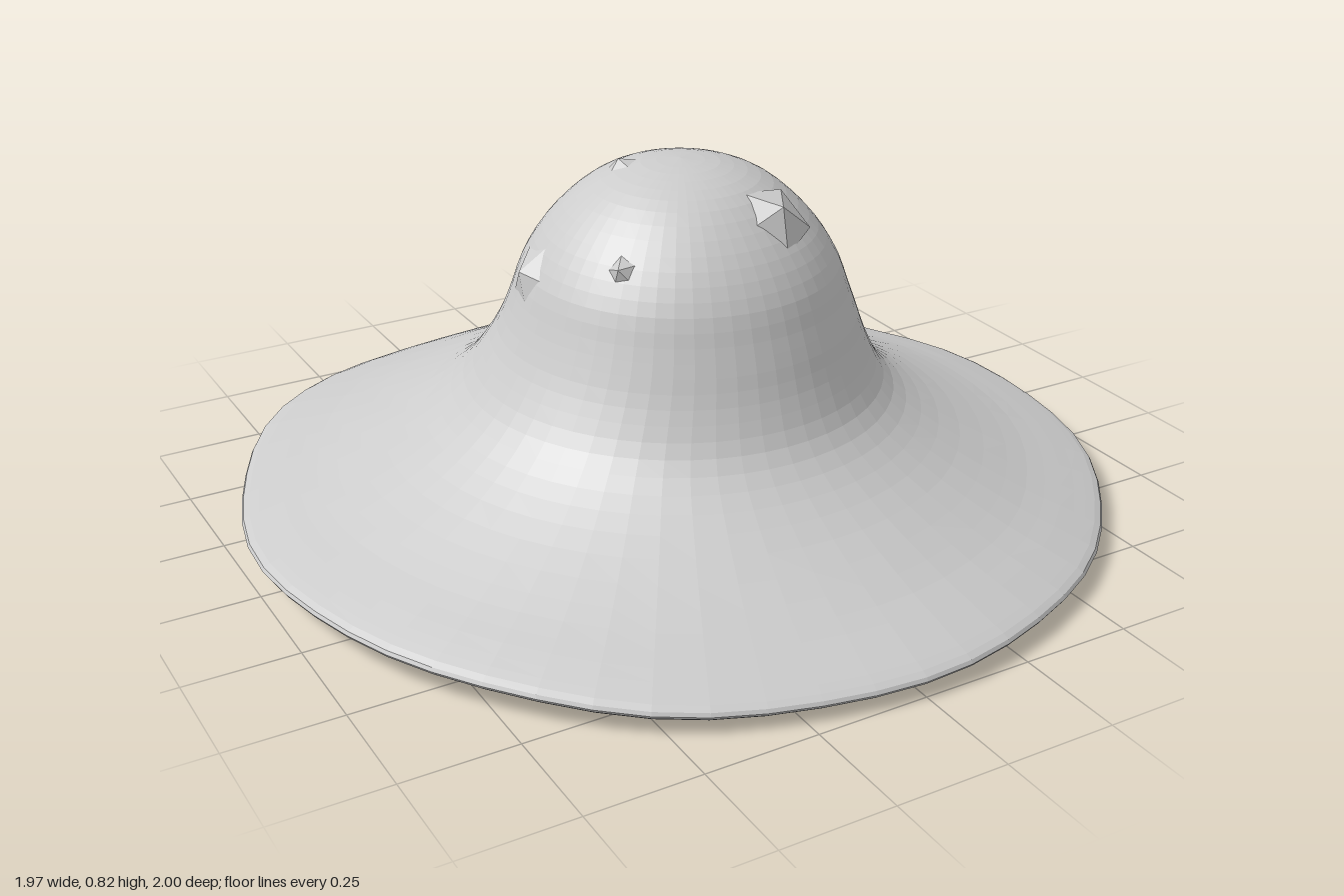
import * as THREE from 'three';

const material = new THREE.MeshStandardMaterial({ color: 0xcccccc, flatShading: true, side: THREE.DoubleSide });
const { smoothstep } = THREE.MathUtils;

// Revolve a smoothed (radius, height) profile, then give it a hand-shaped unevenness
function shell(name, profile, steps, sides) {
  const curve = new THREE.SplineCurve(profile.map(([r, y]) => new THREE.Vector2(r, y)));
  const points = curve.getPoints(steps);
  const geometry = new THREE.LatheGeometry(points, sides);
  const pos = geometry.attributes.position;
  for (let i = 0; i < pos.count; i++) {
    const x = pos.getX(i), y = pos.getY(i), z = pos.getZ(i);
    const r = Math.hypot(x, z), a = Math.atan2(x, z);
    const brim = smoothstep(r, 0.5, 1);
    const crown = smoothstep(y, 0.25, 0.5);
    const wave = 1 + 0.003 * brim * (Math.sin(7 * a) + Math.sin(11 * a + 1));
    const backSwell = 0.02 * smoothstep(-z, 0.4, 0.75) * (1 - smoothstep(-z, 0.8, 1));
    const lift = brim * (0.02 * x * x - 0.008 * x + 0.005 * (1 + Math.sin(5 * a))) + backSwell;
    pos.setXYZ(i, x * wave * 0.988 + 0.012 * crown, y + lift, z * wave + 0.018 * crown);
  }
  geometry.computeVertexNormals();
  const mesh = new THREE.Mesh(geometry, material);
  mesh.name = name;
  return mesh;
}

// Small faceted peak on the crown, placed by its tip and the way it points
function peak(tip, direction, radius, height) {
  const geometry = new THREE.ConeGeometry(radius, height, 5, 1, true).translate(0, -height / 2, 0);
  const mesh = new THREE.Mesh(geometry, material);
  mesh.position.set(...tip);
  mesh.quaternion.setFromUnitVectors(new THREE.Vector3(0, 1, 0), new THREE.Vector3(...direction).normalize());
  mesh.name = 'crownPeak';
  return mesh;
}

export function createModel() {
  const hat = new THREE.Group();
  hat.name = 'hat';

  // Outer surface, from the thin rim up to the top of the crown
  hat.add(shell('outerHat', [
    [0.945, 0], [0.98, 0.016], [0.997, 0.04], [0.93, 0.07], [0.8, 0.122],
    [0.62, 0.213], [0.5, 0.3], [0.433, 0.4], [0.39, 0.5], [0.352, 0.6],
    [0.29, 0.69], [0.2, 0.768], [0.1, 0.807], [0, 0.818],
  ], 44, 56));

  // Coarser lining, from the top of the crown out to the rim
  hat.add(shell('lining', [
    [0, 0.78], [0.17, 0.735], [0.3, 0.595], [0.36, 0.45], [0.44, 0.31],
    [0.58, 0.195], [0.78, 0.093], [0.9, 0.03], [0.95, 0],
  ], 14, 28));

  // Irregular peaks on the crown
  hat.add(
    peak([0.12, 0.762, 0.268], [0.1, 0.75, 0.65], 0.09, 0.05),
    peak([-0.25, 0.672, 0.215], [-0.7, 0.5, 0.55], 0.06, 0.045),
    peak([-0.1, 0.812, -0.06], [-0.3, 1, -0.2], 0.06, 0.03),
    peak([0.305, 0.692, -0.11], [0.8, 0.6, -0.3], 0.035, 0.04),
    peak([0.1, 0.645, -0.338], [0.2, 0.4, -1], 0.1, 0.055),
    peak([-0.357, 0.602, -0.04], [-1, 0.45, -0.1], 0.09, 0.04),
  );
  return hat;
}
